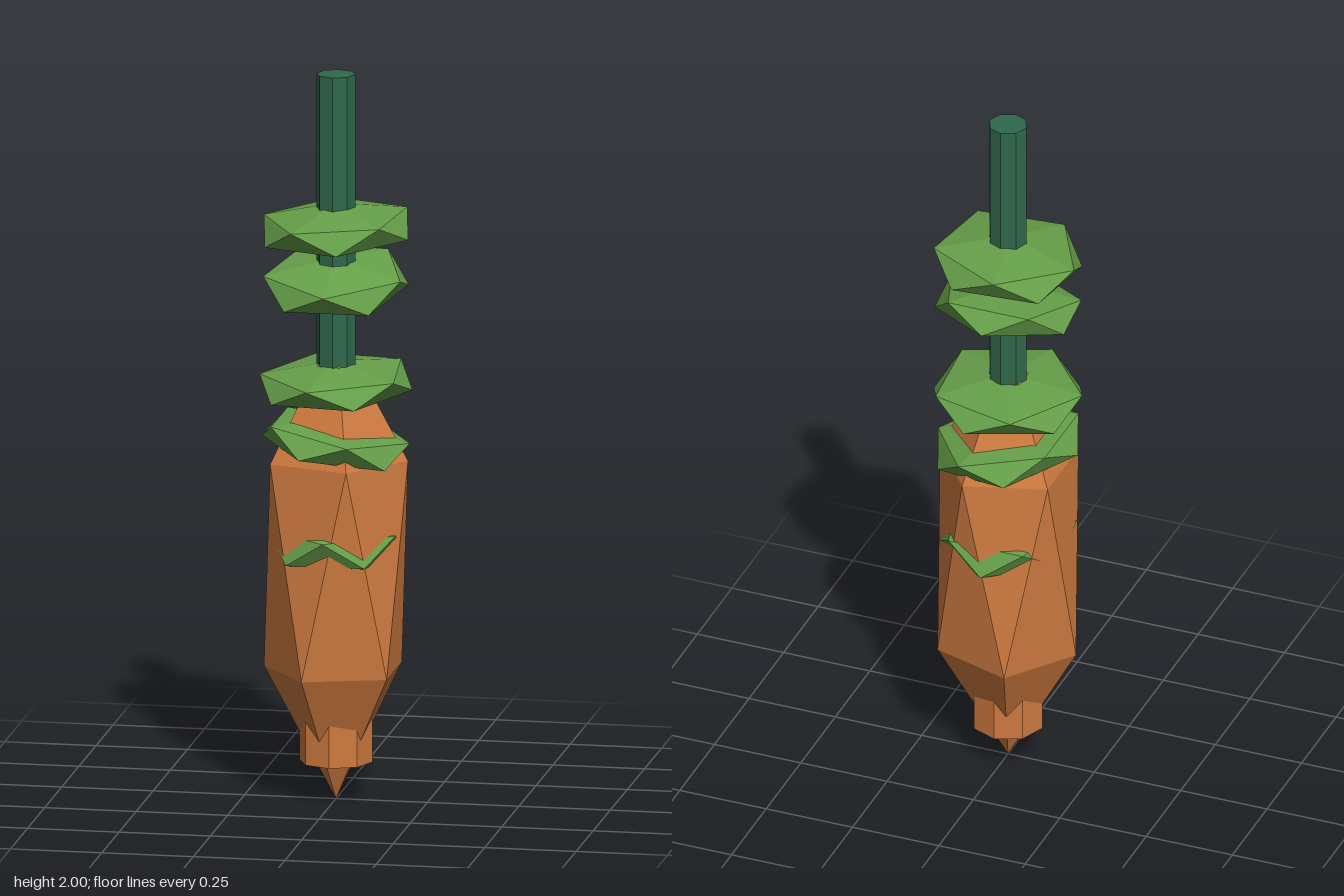
import * as THREE from 'three';

const RING = 0.8944; // ring radius of a unit icosahedron standing on a vertex
const deg = THREE.MathUtils.degToRad;

function material(name, color) {
  const m = new THREE.MeshStandardMaterial({ color, flatShading: true });
  m.name = name;
  return m;
}

// Icosahedron standing on one vertex; phase (degrees from +x towards +z) aims an upper ring corner.
function standingIcosahedron(ringX, ringZ, halfHeight, phase) {
  const g = new THREE.IcosahedronGeometry(1, 0);
  g.rotateZ(Math.atan(2 / (1 + Math.sqrt(5))));
  g.rotateY(deg(36 - phase));
  g.scale(ringX / RING, halfHeight, ringZ / RING);
  g.computeVertexNormals();
  return g;
}

export function createModel() {
  const group = new THREE.Group();
  group.name = 'carrotPlant';
  const orange = material('carrot orange', 0xcf7b40);
  const leaf = material('leaf green', 0x659f49);
  const dark = material('stem green', 0x30694b);

  const add = (name, geometry, mat, y) => {
    const mesh = new THREE.Mesh(geometry, mat);
    mesh.name = name;
    mesh.position.y = y;
    group.add(mesh);
    return mesh;
  };

  // Stem runs through the whole plant
  add('stem', new THREE.CylinderGeometry(0.053, 0.053, 1.905, 8), dark, 1.0475);

  // Tall root with its pointed tip, and the collar near the bottom
  add('root', standingIcosahedron(0.197, 0.19, 0.65, 0), orange, 0.65);
  add('collar', new THREE.CylinderGeometry(0.1, 0.1, 0.17, 8), orange, 0.19);

  // Flattened leaf discs: centre y, ring x, ring z, half height, phase, tilt x, tilt z
  const discs = [
    [1.577, 0.203, 0.203, 0.067, 44, 0.04, 0.05],
    [1.430, 0.197, 0.190, 0.067, 90, 0.2, 0],
    [1.150, 0.205, 0.222, 0.06, 29.5, 0.04, 0.03],
    [0.992, 0.2, 0.207, 0.065, 0, 0, -0.16],
    [0.710, 0.183, 0.2, 0.08, 90, 0, 0], // mostly sunk into the root
  ];
  discs.forEach(([y, rx, rz, h, phase, tx, tz], i) => {
    const disc = add('leafDisc' + (i + 1), standingIcosahedron(rx, rz, h, phase), leaf, y);
    disc.rotation.set(tx, 0, tz);
  });

  return group;
}
